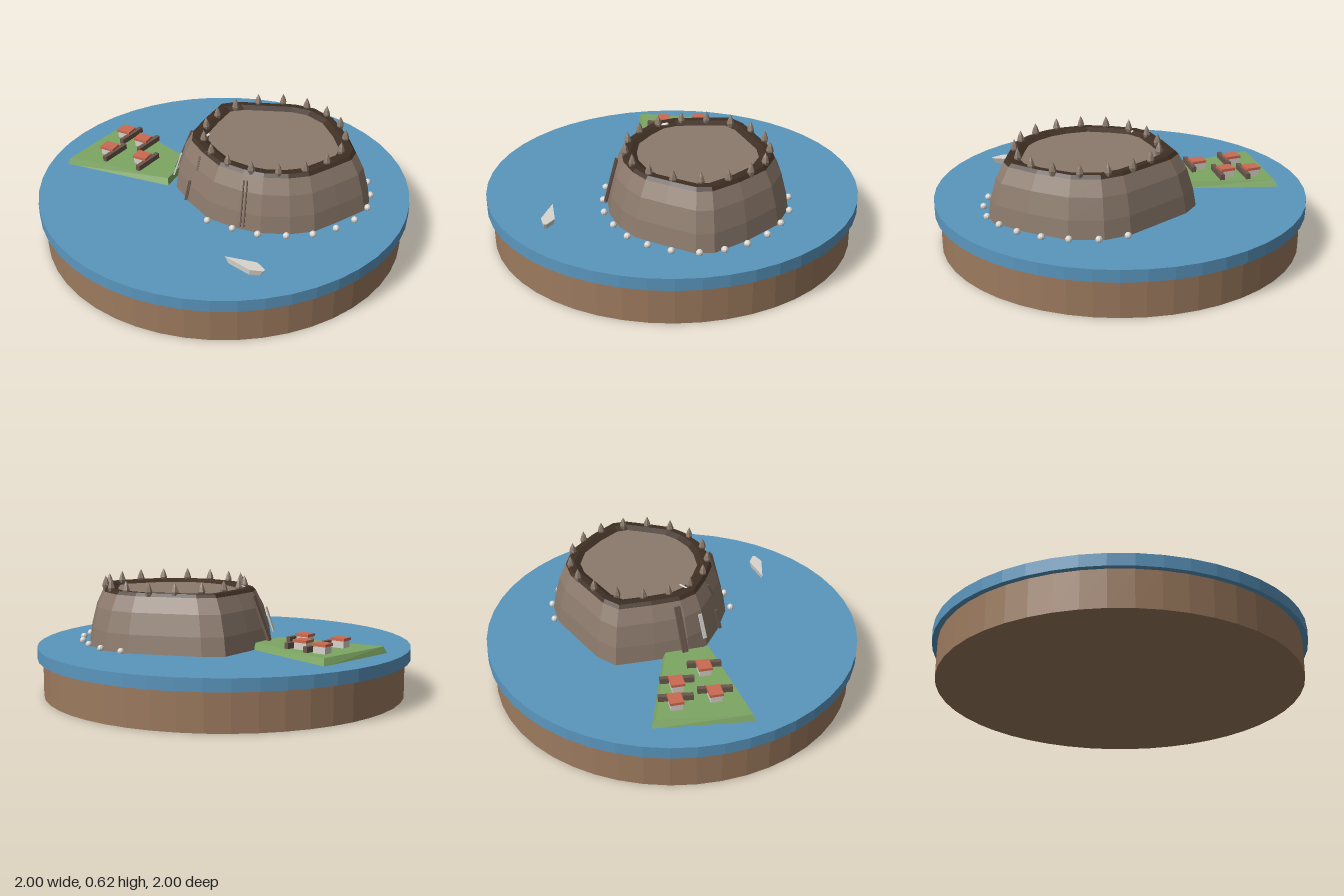
import * as THREE from 'three';

const mat = (name, color) => {
  const m = new THREE.MeshStandardMaterial({ color });
  m.name = name;
  m.flatShading = true;
  return m;
};

// Surface through stacked rings of [x, y, z] (clockwise from above), capped on top if asked
function loft(rings, cap) {
  const pos = [];
  const n = rings[0].length;
  for (let i = 0; i < rings.length - 1; i++) {
    for (let j = 0; j < n; j++) {
      const k = (j + 1) % n;
      const a = rings[i][j], b = rings[i][k], c = rings[i + 1][j], d = rings[i + 1][k];
      pos.push(...b, ...a, ...c, ...b, ...c, ...d);
    }
  }
  if (cap) {
    const top = rings[rings.length - 1];
    const mid = [0, 1, 2].map((c) => top.reduce((s, p) => s + p[c], 0) / n);
    for (let j = 0; j < n; j++) pos.push(...mid, ...top[(j + 1) % n], ...top[j]);
  }
  const g = new THREE.BufferGeometry();
  g.setAttribute('position', new THREE.Float32BufferAttribute(pos, 3));
  g.computeVertexNormals();
  return g;
}

export function createModel() {
  const model = new THREE.Group();
  const earth = mat('earth', 0x9c7a5e);
  const water = mat('water', 0x5a96be);
  const rock = mat('rock', 0x8c7a6c);
  const scorched = mat('darkRock', 0x3f2f24);
  const grass = mat('grass', 0x7da663);
  const roofRed = mat('roofRed', 0xcb6a52);
  const plaster = mat('plaster', 0xd8d2ca);
  const wood = mat('wood', 0x6b574c);
  const pearl = mat('paleStone', 0xd9d5cf);

  const add = (name, geo, material, x = 0, y = 0, z = 0, parent = model) => {
    const m = new THREE.Mesh(geo, material);
    m.name = name;
    m.position.set(x, y, z);
    parent.add(m);
    return m;
  };
  // Box beam running between two points
  const beam = (name, material, from, to, w, d) => {
    const a = new THREE.Vector3(...from), b = new THREE.Vector3(...to);
    const mid = a.clone().add(b).multiplyScalar(0.5);
    const m = add(name, new THREE.BoxGeometry(w, a.distanceTo(b), d), material, mid.x, mid.y, mid.z);
    m.quaternion.setFromUnitVectors(new THREE.Vector3(0, 1, 0), b.sub(a).normalize());
    return m;
  };

  // Round base and sea
  add('base', new THREE.CylinderGeometry(0.97, 0.97, 0.2, 48), earth, 0, 0.1, 0);
  add('sea', new THREE.CylinderGeometry(1, 1, 0.065, 48), water, 0, 0.2325, 0);

  // Crater island
  const cx = 0.26, cz = -0.06;
  const outline = [
    [-0.17, -0.43], [-0.06, -0.48], [0.33, -0.52], [0.47, -0.49], [0.61, -0.38], [0.72, -0.18],
    [0.79, 0.01], [0.77, 0.10], [0.65, 0.23], [0.54, 0.34], [0.42, 0.39], [0.27, 0.41],
    [0.14, 0.39], [-0.02, 0.33], [-0.15, 0.20], [-0.25, 0.07], [-0.27, -0.05], [-0.23, -0.23],
  ];
  const ring = ([s, y]) => outline.map(([x, z]) => [cx + (x - cx) * s, y, cz + (z - cz) * s]);
  add('craterWall', loft([[1, 0.262], [0.97, 0.36], [0.91, 0.47], [0.83, 0.55]].map(ring)), rock);
  add('craterRim', loft([[0.83, 0.55], [0.8, 0.567], [0.73, 0.567], [0.66, 0.55]].map(ring)), scorched);
  add('craterFloor', loft([[0.67, 0.54], [0.665, 0.551]].map(ring), true), rock);

  // Teeth of rock round the rim
  const tooth = new THREE.LatheGeometry(
    [[0, 0], [0.014, 0], [0.02, 0.025], [0.012, 0.05], [0, 0.075]].map((p) => new THREE.Vector2(...p)), 6);
  const teeth = new THREE.Group();
  teeth.name = 'rimTeeth';
  model.add(teeth);
  for (let i = 0; i < 17; i++) {
    const a = 1.36 + (i / 17) * Math.PI * 2;
    const m = add('tooth', tooth, rock, cx + 0.375 * Math.cos(a), 0.55, cz + 0.37 * Math.sin(a), teeth);
    m.rotation.y = i * 0.7;
  }

  // Pale boulders along the shore
  const ball = new THREE.SphereGeometry(0.018, 10, 8);
  [[0.36, -0.535], [0.5, -0.485], [0.615, -0.395], [0.705, -0.29], [0.765, -0.165], [0.79, -0.04],
    [0.785, 0.085], [0.73, 0.21], [0.645, 0.305], [0.535, 0.38], [0.405, 0.42], [0.26, 0.435],
    [0.125, 0.41], [-0.015, 0.365]].forEach(([x, z]) => add('shoreStone', ball, pearl, x, 0.276, z));

  // Farmland wedge with sloping edges
  const landOuter = [[-0.70, -0.51], [-0.235, -0.19], [-0.295, 0.07], [-0.905, -0.04]];
  const landInner = [[-0.69, -0.48], [-0.24, -0.175], [-0.30, 0.05], [-0.885, -0.05]];
  add('farmland', loft([landOuter.map(([x, z]) => [x, 0.262, z]),
    landInner.map(([x, z]) => [x, 0.3, z])], true), grass);

  // Houses, each with a timber walkway beside it
  [[-0.645, -0.345], [-0.525, -0.27], [-0.685, -0.145], [-0.48, -0.085]].forEach(([x, z]) => {
    const house = new THREE.Group();
    house.name = 'house';
    house.position.set(x, 0.3, z);
    model.add(house);
    const turn = -0.29;
    add('walls', new THREE.BoxGeometry(0.07, 0.036, 0.06), plaster, 0, 0.018, 0, house).rotation.y = turn;
    add('roof', new THREE.BoxGeometry(0.08, 0.014, 0.07), roofRed, 0, 0.043, 0, house).rotation.y = turn;
    add('walkway', new THREE.BoxGeometry(0.024, 0.03, 0.175), wood, 0.036, 0.021, 0.022, house).rotation.y = -0.42;
  });

  // Ladders up the crater wall
  for (const s of [-0.009, 0.009]) {
    beam('frontLadder', wood, [0.175 + s, 0.29, 0.408], [0.18 + s, 0.53, 0.345], 0.006, 0.012);
    beam('sideLadder', wood, [-0.285, 0.295, -0.08 + s], [-0.195, 0.53, -0.08 + s], 0.014, 0.014);
  }
  beam('wallPost', wood, [-0.165, 0.28, 0.205], [-0.145, 0.39, 0.19], 0.014, 0.014);
  beam('rimPost', wood, [-0.105, 0.46, 0.195], [-0.095, 0.53, 0.165], 0.01, 0.01);

  // Pale water spout on the rim and down the wall
  beam('rimSpout', pearl, [-0.11, 0.56, 0.03], [-0.08, 0.575, 0.0], 0.012, 0.008);
  beam('wallSpout', pearl, [-0.265, 0.33, 0.05], [-0.225, 0.46, 0.04], 0.008, 0.02);

  // Boat with flared hull
  const deck = [[0.14, 0.68], [0.305, 0.698], [0.352, 0.75], [0.345, 0.763], [0.28, 0.765]];
  const hull = deck.map(([x, z]) => [0.25 + (x - 0.25) * 0.8, 0.262, 0.73 + (z - 0.73) * 0.8]);
  add('boat', loft([hull, deck.map(([x, z]) => [x, 0.298, z])], true), pearl);

  return model;
}
